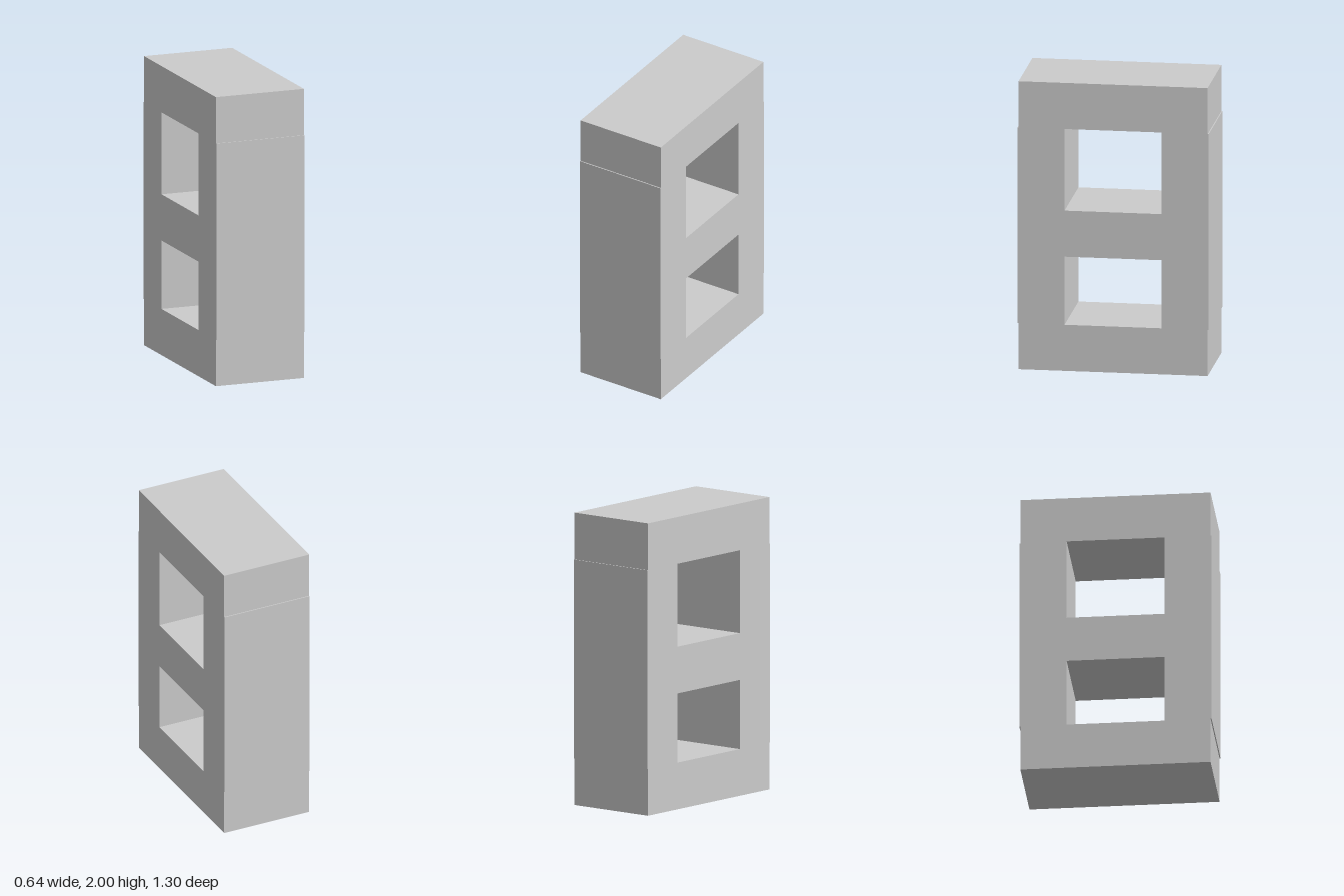
import * as THREE from 'three';

const WIDTH = 0.64; // shared depth of every beam along x

export function createModel() {
  const group = new THREE.Group();
  const material = new THREE.MeshStandardMaterial({ color: 0xcccccc, flatShading: true });

  // Beam spanning the given y and z ranges
  const beam = (name, y0, y1, z0, z1) => {
    const mesh = new THREE.Mesh(new THREE.BoxGeometry(WIDTH, y1 - y0, z1 - z0), material);
    mesh.position.set(0, (y0 + y1) / 2, (z0 + z1) / 2);
    mesh.name = name;
    group.add(mesh);
  };

  // Horizontal beams
  beam('bottomBeam', 0, 0.32, -0.643, 0.643);
  beam('middleBeam', 0.793, 1.113, -0.33, 0.33);
  beam('topBeam', 1.68, 2, -0.643, 0.643);

  // Upright posts, standing slightly proud of the beam ends
  beam('frontPost', 0.32, 1.68, 0.33, 0.65);
  beam('backPost', 0.32, 1.68, -0.65, -0.33);

  return group;
}
